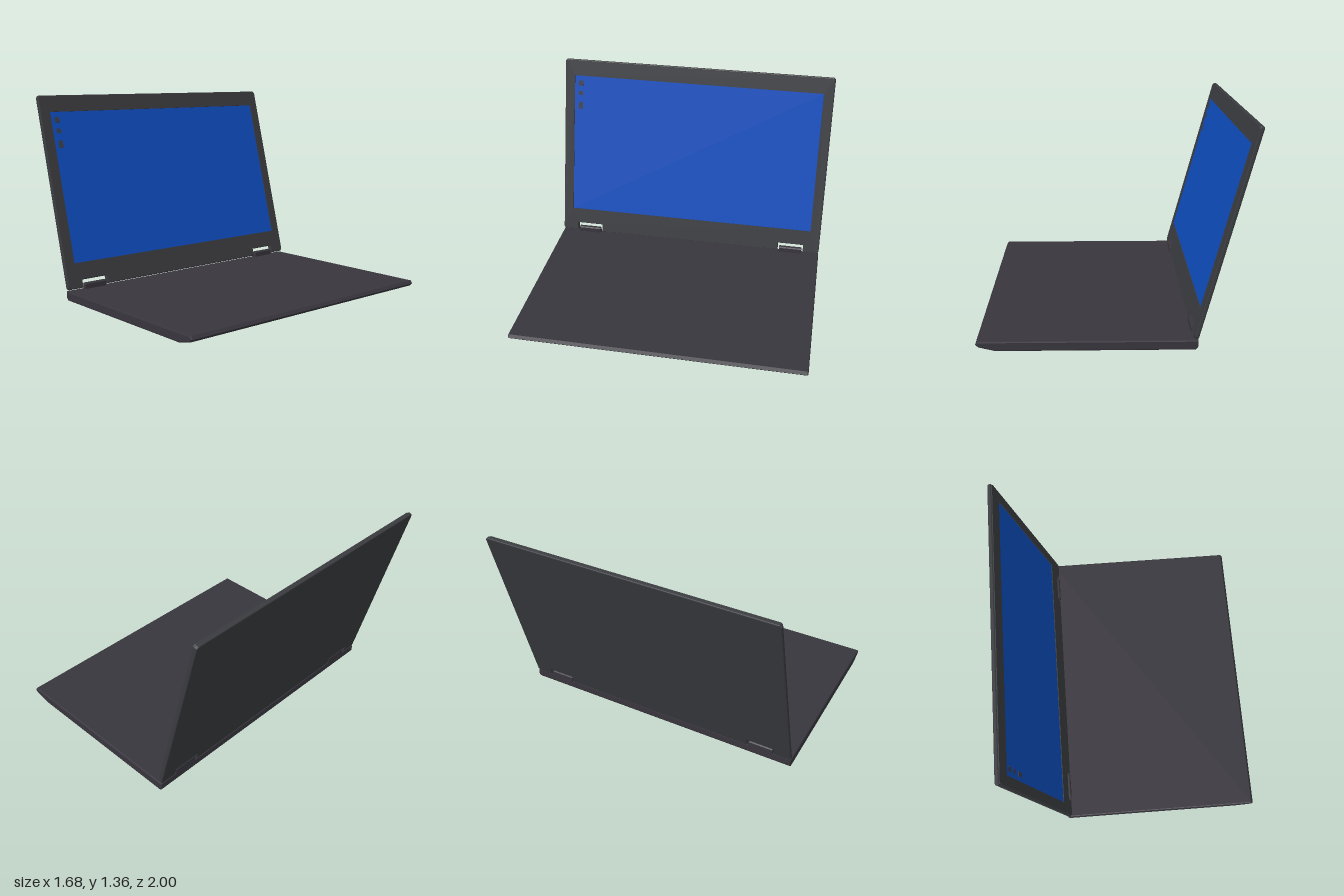
import * as THREE from 'three';

const material = (name, color) => {
  const m = new THREE.MeshStandardMaterial({ color });
  m.name = name;
  return m;
};

// Polygon from corner points
const polygon = (points) => new THREE.Shape(points.map(([x, y]) => new THREE.Vector2(x, y)));

// Extrusion centred on its depth, with a chamfer that stays inside the outline
function slab(shape, thickness, chamfer) {
  const depth = thickness - 2 * chamfer;
  const geometry = new THREE.ExtrudeGeometry(shape, {
    depth, bevelEnabled: chamfer > 0, bevelSize: chamfer, bevelThickness: chamfer,
    bevelOffset: -chamfer, bevelSegments: 2,
  });
  return geometry.translate(0, 0, -depth / 2);
}

function addMesh(parent, name, geometry, mat, x = 0, y = 0, z = 0) {
  const mesh = new THREE.Mesh(geometry, mat);
  mesh.name = name;
  mesh.position.set(x, y, z);
  parent.add(mesh);
  return mesh;
}

// Lid outline with two hinge notches in the lower edge
function lidOutline(height, inset) {
  const w = 1 - inset, c = 0.012, lo = inset, hi = height - inset;
  const n0 = 0.69 - inset, n1 = 0.88 + inset, top = 0.055 + inset;
  return polygon([
    [-w + c, lo], [-n1, lo], [-n1, top], [-n0, top], [-n0, lo],
    [n0, lo], [n0, top], [n1, top], [n1, lo], [w - c, lo],
    [w, lo + c], [w, hi - c], [w - c, hi], [-w + c, hi], [-w, hi - c], [-w, lo + c],
  ]);
}

export function createModel() {
  const model = new THREE.Group();
  model.name = 'laptop';

  const baseGrey = material('base grey', 0x38363d);
  const lidGrey = material('lid grey', 0x3a3b3f);
  const screenBlue = material('screen blue', 0x0d4cbc);
  const iconGrey = material('icon grey', 0x3a3d45);

  // Base: side profile with a tapered front lip
  const baseProfile = polygon([
    [-0.5, 0.02], [-0.485, 0], [0.72, 0], [0.825, 0.025],
    [0.842, 0.043], [0.828, 0.062], [-0.5, 0.062],
  ]);
  addMesh(model, 'base', slab(baseProfile, 2, 0.008), baseGrey);

  // Hinge blocks
  const hingeProfile = polygon([
    [-0.5, 0.05], [-0.466, 0.05], [-0.466, 0.095], [-0.473, 0.102], [-0.493, 0.102], [-0.5, 0.095],
  ]);
  for (const side of [1, -1]) {
    addMesh(model, side > 0 ? 'leftHinge' : 'rightHinge',
      slab(hingeProfile, 0.17, 0.004), baseGrey, 0, 0, side * 0.785);
  }

  // Lid: local x runs to -z, y up the lid, z out of the screen
  const lean = new THREE.Group();
  lean.name = 'lid';
  lean.position.set(-0.483, 0.07, 0);
  lean.rotation.z = THREE.MathUtils.degToRad(15);
  const lid = new THREE.Group();
  lid.name = 'lidParts';
  lid.rotation.y = Math.PI / 2;
  lean.add(lid);
  model.add(lean);

  const height = 1.335, chamfer = 0.006, bezelDepth = 0.007, half = 0.0165;
  const shellDepth = 2 * half - bezelDepth;
  addMesh(lid, 'lidShell', slab(lidOutline(height, 0), shellDepth, chamfer), lidGrey,
    0, 0, -half + shellDepth / 2);

  // Bezel around the recessed screen
  const sx = 0.925, s0 = 0.172, s1 = 1.217;
  const bezel = lidOutline(height, chamfer);
  bezel.holes.push(new THREE.Path(
    [[-sx, s0], [-sx, s1], [sx, s1], [sx, s0]].map(([x, y]) => new THREE.Vector2(x, y))));
  addMesh(lid, 'bezel', slab(bezel, bezelDepth, 0), lidGrey, 0, 0, half - bezelDepth / 2);

  const screenFace = half - 0.005;
  addMesh(lid, 'screen', new THREE.BoxGeometry(2 * sx, s1 - s0, 0.002), screenBlue,
    0, (s0 + s1) / 2, screenFace - 0.001);

  // Desktop icons at the upper left of the screen
  for (const [v, h] of [[1.16, 0.04], [1.085, 0.032], [0.99, 0.05]]) {
    addMesh(lid, 'icon', new THREE.BoxGeometry(0.032, h, 0.002), iconGrey, -0.878, v, screenFace + 0.001);
  }
  return model;
}
